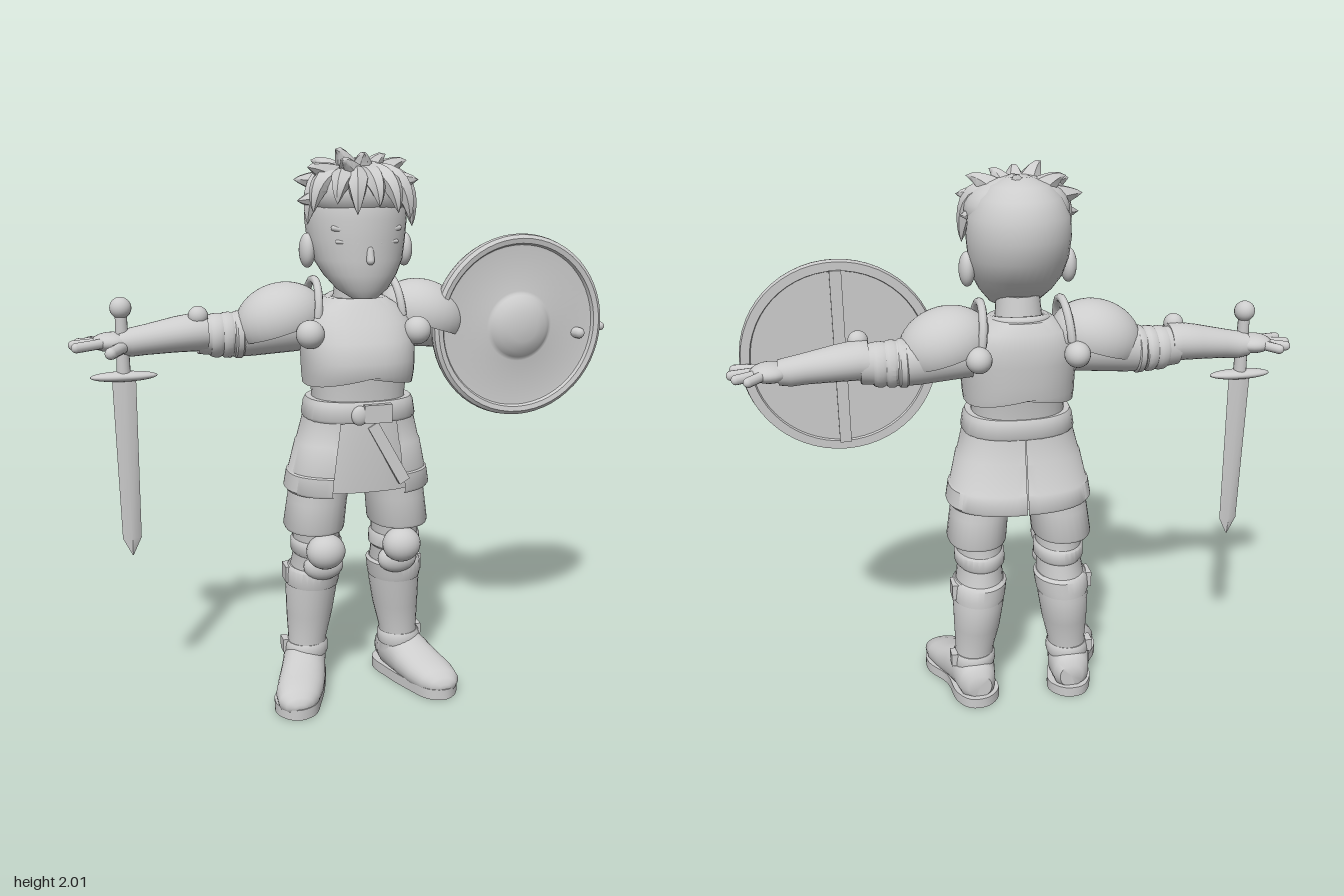
import * as THREE from 'three';
import { toCreasedNormals } from 'three/addons/utils/BufferGeometryUtils.js';

const V = (x, y, z) => new THREE.Vector3(x, y, z);

// Smooth shading that keeps hard edges
function crease(geo, angle = 0.75) {
  geo.scale(100, 100, 100);
  return toCreasedNormals(geo, angle).scale(0.01, 0.01, 0.01);
}

// Skin over elliptical sections [t, a, b, ra, rb]; axis y: a=x b=z, axis x: a=z b=y, axis z: a=y b=x
function loft(axis, sections, { n = 28, power = 2, from = 0, to = 2 * Math.PI } = {}) {
  const pos = [], idx = [];
  const put = (t, a, b) => pos.push(...(axis === 'y' ? [a, t, b] : axis === 'x' ? [t, b, a] : [b, a, t]));
  const bend = (v) => Math.sign(v) * Math.abs(v) ** (2 / power);
  for (const [t, a, b, ra, rb] of sections) {
    for (let j = 0; j <= n; j++) {
      const q = from + ((to - from) * j) / n;
      put(t, a + ra * bend(Math.cos(q)), b + rb * bend(Math.sin(q)));
    }
  }
  const last = sections.length - 1, w = n + 1;
  for (let i = 0; i < last; i++) for (let j = 0; j < n; j++) {
    const p = i * w + j;
    idx.push(p, p + w, p + 1, p + 1, p + w, p + w + 1);
  }
  if (to - from > 6.28) {
    const c = pos.length / 3;
    put(...sections[0]);
    put(...sections[last]);
    for (let j = 0; j < n; j++) idx.push(c, j, j + 1, c + 1, last * w + j + 1, last * w + j);
  }
  const geo = new THREE.BufferGeometry();
  geo.setAttribute('position', new THREE.Float32BufferAttribute(pos, 3));
  geo.setIndex(idx);
  return crease(geo);
}

const ball = (p, rx, ry = rx, rz = rx) =>
  new THREE.SphereGeometry(1, 24, 16).scale(rx, ry, rz).translate(p.x, p.y, p.z);

function limb(p, q, r) {
  const dir = q.clone().sub(p).normalize(), mid = p.clone().add(q).multiplyScalar(0.5);
  return new THREE.CapsuleGeometry(r, p.distanceTo(q), 5, 12)
    .applyQuaternion(new THREE.Quaternion().setFromUnitVectors(V(0, 1, 0), dir))
    .translate(mid.x, mid.y, mid.z);
}

// Curved lock of hair tapering to a point
function lock(base, mid, tip, r) {
  const curve = new THREE.QuadraticBezierCurve3(base, mid, tip), sides = 6, steps = 8;
  const geo = new THREE.TubeGeometry(curve, steps, r, sides), pos = geo.attributes.position;
  for (let i = 0; i < pos.count; i++) {
    const t = Math.floor(i / (sides + 1)) / steps;
    const p = V().fromBufferAttribute(pos, i).lerp(curve.getPointAt(t), 1 - (1 - t) ** 0.75);
    pos.setXYZ(i, p.x, p.y, p.z);
  }
  return crease(geo, 0.9);
}

function mirrored(geo) {
  const g = geo.index ? geo.toNonIndexed() : geo.clone();
  g.scale(-1, 1, 1);
  for (const attr of Object.values(g.attributes)) {
    for (let i = 0; i < attr.count; i += 3) for (let k = 0; k < attr.itemSize; k++) {
      const b = attr.getComponent(i + 1, k);
      attr.setComponent(i + 1, k, attr.getComponent(i + 2, k));
      attr.setComponent(i + 2, k, b);
    }
  }
  return g;
}

export function createModel() {
  const model = new THREE.Group();
  model.name = 'squire';
  const grey = new THREE.MeshStandardMaterial({ color: 0xcccccc, side: THREE.DoubleSide });
  grey.name = 'plain light grey';
  const add = (name, geo) => {
    const mesh = new THREE.Mesh(geo, grey);
    mesh.name = name;
    model.add(mesh);
  };
  const pair = (name, geo) => {
    const cap = name[0].toUpperCase() + name.slice(1);
    add('left' + cap, geo);
    add('right' + cap, mirrored(geo));
  };

  // Head and face
  add('head', loft('y', [
    [1.5, 0, 0.1, 0.045, 0.035], [1.53, 0, 0.07, 0.09, 0.085], [1.58, 0, 0.04, 0.13, 0.125],
    [1.63, 0, 0.015, 0.157, 0.155], [1.7, 0, -0.01, 0.173, 0.178], [1.77, 0, -0.015, 0.18, 0.187],
    [1.84, 0, -0.02, 0.174, 0.18], [1.9, 0, -0.02, 0.143, 0.15], [1.94, 0, -0.02, 0.1, 0.105],
    [1.965, 0, -0.02, 0.04, 0.04]], { n: 36 }));
  add('nose', limb(V(0, 1.67, 0.158), V(0, 1.632, 0.17), 0.014));
  pair('ear', ball(V(0.178, 1.66, -0.005), 0.028, 0.06, 0.042));
  pair('brow', limb(V(0.035, 1.725, 0.155), V(0.115, 1.74, 0.122), 0.01));
  pair('eyelid', limb(V(0.04, 1.69, 0.156), V(0.105, 1.695, 0.13), 0.007));

  // Hair: cap, crown locks and fringe
  add('hairCap', ball(V(0, 1.855, 0.02), 0.182, 0.112, 0.16));
  const crown = [
    [-0.23, 1.83, 0.07], [-0.23, 1.9, 0.02], [-0.2, 1.94, 0.1], [-0.16, 1.965, -0.02], [-0.1, 2, 0.09],
    [-0.01, 1.985, 0.13], [0.02, 1.975, -0.07], [0.09, 1.985, 0.05], [0.17, 1.965, 0.04], [0.2, 1.9, 0.08],
    [0.2, 1.84, 0.0], [-0.1, 1.96, 0.17]];
  crown.forEach(([x, y, z]) => add('crownLock', lock(V(x * 0.25, 1.88, z * 0.4),
    V(x * 0.7, y, z * 0.75), V(x, y, z), 0.068)));
  const fringe = [
    [-0.185, 1.79, 0.12], [-0.12, 1.82, 0.19], [-0.055, 1.785, 0.205], [0.02, 1.81, 0.21],
    [0.09, 1.79, 0.195], [0.15, 1.765, 0.14], [0.185, 1.74, 0.06], [-0.188, 1.75, 0.05]];
  fringe.forEach(([x, y, z]) => add('fringeLock', lock(V(x * 0.5, 1.9, z * 0.45),
    V(x * 0.95, 1.91, z * 0.95), V(x, y, z), 0.056)));

  // Neck and torso armour
  add('neck', loft('y', [[1.42, 0, -0.02, 0.09, 0.09], [1.57, 0, 0, 0.075, 0.08]]));
  add('collar', new THREE.TorusGeometry(0.095, 0.018, 10, 28).rotateX(Math.PI / 2 + 0.15).translate(0, 1.48, -0.02));
  add('waist', loft('y', [[1.08, 0, 0.015, 0.17, 0.145], [1.16, 0, 0.015, 0.168, 0.145],
    [1.27, 0, 0.01, 0.18, 0.165]], { power: 2.3 }));
  const breast = loft('y', [[1.19, 0, 0.005, 0.196, 0.172], [1.23, 0, 0.008, 0.2, 0.185],
    [1.28, 0, 0.01, 0.202, 0.19], [1.35, 0, -0.005, 0.205, 0.182], [1.41, 0, -0.025, 0.2, 0.16],
    [1.46, 0, -0.035, 0.165, 0.138], [1.495, 0, -0.035, 0.11, 0.11]], { n: 36, power: 2.4 });
  const bp = breast.attributes.position;
  for (let i = 0; i < bp.count; i++) {
    if (bp.getY(i) < 1.2) bp.setY(i, bp.getY(i) + 0.035 * (1 - Math.abs(bp.getX(i)) / 0.2));
  }
  add('breastplate', breast);

  // Shoulders
  pair('pauldron', new THREE.SphereGeometry(1, 28, 16, 0, Math.PI * 2, 0, Math.PI * 0.58)
    .scale(0.165, 0.13, 0.142).rotateZ(-0.3).translate(0.265, 1.415, -0.06));
  pair('pauldronFlange', new THREE.TorusGeometry(0.125, 0.015, 8, 24, Math.PI).rotateY(Math.PI / 2)
    .scale(1, 1, 0.9).rotateZ(0.1).translate(0.155, 1.43, -0.055));
  pair('frontRoundel', ball(V(0.195, 1.38, 0.1), 0.05));
  pair('backRoundel', ball(V(0.17, 1.39, -0.185), 0.045, 0.045, 0.05));

  // Arms, sleeve folds, gauntlets and hands
  pair('upperArm', loft('x', [[0.18, -0.07, 1.39, 0.09, 0.09], [0.37, -0.08, 1.375, 0.09, 0.088],
    [0.43, -0.08, 1.365, 0.078, 0.078], [0.56, -0.08, 1.37, 0.07, 0.068]]));
  [0.415, 0.455, 0.495].forEach((x, i) => pair('sleeveFold', loft('x', [
    [x - 0.022, -0.08, 1.367, 0.074, 0.074], [x - 0.008, -0.08, 1.365, 0.087 - i * 0.003, 0.085 - i * 0.003],
    [x + 0.012, -0.08, 1.365, 0.085 - i * 0.003, 0.083 - i * 0.003], [x + 0.022, -0.08, 1.366, 0.073, 0.072]])));
  pair('gauntlet', loft('x', [[0.53, -0.07, 1.38, 0.08, 0.066], [0.56, -0.07, 1.382, 0.083, 0.068],
    [0.64, -0.07, 1.375, 0.075, 0.062], [0.74, -0.067, 1.362, 0.058, 0.053], [0.79, -0.068, 1.355, 0.055, 0.05],
    [0.83, -0.07, 1.355, 0.055, 0.042]]));
  pair('elbowKnob', ball(V(0.56, 1.44, -0.04), 0.035));
  pair('palm', ball(V(0.855, 1.358, -0.072), 0.07, 0.034, 0.066));
  [[0, 0.975], [-0.065, 0.983], [-0.115, 0.965], [-0.15, 0.925]].forEach(([z, x], i) =>
    pair('finger', limb(V(0.875, 1.36, -0.035 - i * 0.025), V(x, 1.352, z), 0.017)));
  pair('thumb', limb(V(0.815, 1.345, -0.04), V(0.865, 1.335, 0.042), 0.021));

  // Belt, skirt and side tassets
  add('belt', loft('y', [[1.07, 0, 0.017, 0.2, 0.157], [1.08, 0, 0.017, 0.206, 0.163],
    [1.13, 0, 0.017, 0.198, 0.16], [1.145, 0, 0.017, 0.19, 0.152]], { power: 2.4 }));
  add('buckle', new THREE.BoxGeometry(0.1, 0.065, 0.03).translate(0.025, 1.105, 0.178));
  add('buckleKnot', ball(V(-0.04, 1.1, 0.178), 0.03, 0.035, 0.018));
  add('beltTail', new THREE.BoxGeometry(0.042, 0.24, 0.02).rotateZ(0.5).rotateX(-0.06).translate(0.07, 0.955, 0.166));
  add('skirt', loft('y', [[0.815, 0, -0.005, 0.25, 0.168], [0.95, 0, 0.008, 0.225, 0.16],
    [1.09, 0, 0.015, 0.19, 0.148]], { n: 36, power: 2.4 }));
  pair('tasset', loft('y', [[0.8, 0, -0.005, 0.262, 0.182], [0.81, 0, -0.005, 0.27, 0.186],
    [0.87, 0, -0.002, 0.26, 0.181], [0.875, 0, -0.002, 0.253, 0.176], [0.98, 0, 0.008, 0.229, 0.167],
    [0.985, 0, 0.008, 0.224, 0.164], [1.08, 0, 0.015, 0.2, 0.154]], { power: 2.4, from: -1.568, to: 1.12 }));

  // Legs
  pair('shorts', loft('y', [[0.65, 0.162, -0.015, 0.106, 0.132], [0.66, 0.162, -0.015, 0.11, 0.136],
    [0.76, 0.15, -0.01, 0.108, 0.13], [0.95, 0.12, 0, 0.108, 0.13]], { power: 2.2 }));
  pair('leg', loft('y', [[0.1, 0.19, -0.055, 0.078, 0.08], [0.2, 0.182, -0.052, 0.073, 0.076],
    [0.3, 0.172, -0.056, 0.087, 0.097], [0.4, 0.165, -0.054, 0.096, 0.112], [0.48, 0.157, -0.04, 0.09, 0.11],
    [0.56, 0.152, -0.02, 0.082, 0.108], [0.67, 0.155, -0.012, 0.09, 0.115]]));
  pair('greaveCuff', loft('y', [[0.42, 0.163, -0.05, 0.098, 0.115], [0.44, 0.162, -0.047, 0.101, 0.118],
    [0.485, 0.157, -0.042, 0.102, 0.119], [0.495, 0.157, -0.04, 0.092, 0.11]]));
  pair('kneeBand', loft('y', [[0.55, 0.152, -0.022, 0.085, 0.11], [0.56, 0.152, -0.02, 0.094, 0.118],
    [0.6, 0.153, -0.017, 0.094, 0.118], [0.61, 0.153, -0.015, 0.086, 0.11]]));
  pair('kneePad', ball(V(0.145, 0.585, 0.1), 0.072, 0.066, 0.062));
  pair('kneePoint', ball(V(0.143, 0.515, 0.055), 0.075, 0.055, 0.045));
  pair('greaveTab', new THREE.BoxGeometry(0.025, 0.06, 0.07).translate(0.255, 0.46, -0.06));

  // Boots
  pair('ankleStrap', loft('y', [[0.135, 0.187, -0.053, 0.08, 0.083], [0.145, 0.187, -0.053, 0.083, 0.086],
    [0.175, 0.185, -0.053, 0.081, 0.084], [0.185, 0.185, -0.053, 0.075, 0.079]]));
  pair('strapTab', new THREE.BoxGeometry(0.025, 0.05, 0.05).translate(0.265, 0.165, -0.07));
  const foot = loft('z', [[-0.165, 0.08, 0.18, 0.045, 0.045], [-0.14, 0.085, 0.185, 0.075, 0.068],
    [-0.07, 0.1, 0.19, 0.09, 0.083], [0, 0.09, 0.21, 0.085, 0.085], [0.06, 0.075, 0.23, 0.07, 0.09],
    [0.13, 0.062, 0.255, 0.058, 0.09], [0.19, 0.053, 0.272, 0.047, 0.075], [0.22, 0.05, 0.277, 0.03, 0.05],
    [0.232, 0.048, 0.278, 0.01, 0.02]], { power: 2.2 });
  const fp = foot.attributes.position;
  for (let i = 0; i < fp.count; i++) fp.setY(i, Math.max(fp.getY(i), 0.02));
  pair('boot', foot);
  const outline = [[0.1, -0.12], [0.15, -0.18], [0.22, -0.18], [0.265, -0.12], [0.285, 0], [0.345, 0.1],
    [0.345, 0.18], [0.29, 0.235], [0.22, 0.215], [0.17, 0.12], [0.125, 0]];
  const sole = new THREE.Shape(new THREE.CatmullRomCurve3(outline.map(([x, z]) => V(x, z, 0)), true)
    .getPoints(44).slice(0, -1).map((p) => new THREE.Vector2(p.x, p.y)));
  pair('sole', crease(new THREE.ExtrudeGeometry(sole, { depth: 0.04, bevelEnabled: false })
    .rotateX(Math.PI / 2).translate(0, 0.04, 0)));

  // Shield on the left arm
  const profile = [[0, -0.012], [0.3, -0.012], [0.303, -0.022], [0.333, -0.022], [0.338, 0], [0.335, 0.018],
    [0.322, 0.028], [0.304, 0.024], [0.298, 0.012], [0.29, 0.011], [0.13, 0.016], [0.122, 0.018],
    [0.115, 0.024], [0.095, 0.042], [0.055, 0.055], [0, 0.06]];
  add('shield', crease(new THREE.LatheGeometry(profile.map(([r, h]) => new THREE.Vector2(r, h)), 56)
    .rotateX(Math.PI / 2).translate(0.62, 1.37, 0.02), 0.5));
  add('shieldBar', new THREE.BoxGeometry(0.04, 0.61, 0.025).translate(0.62, 1.37, 0.0));

  // Sword in the right hand
  add('swordBlade', loft('y', [[0.585, -0.82, -0.06, 0.002, 0.002], [0.65, -0.82, -0.06, 0.033, 0.011],
    [1.24, -0.82, -0.06, 0.041, 0.014]], { n: 4 }));
  add('swordGuard', ball(V(-0.82, 1.238, -0.06), 0.115, 0.018, 0.034));
  add('swordGrip', new THREE.CylinderGeometry(0.02, 0.024, 0.24, 16).translate(-0.82, 1.35, -0.06));
  add('swordPommel', ball(V(-0.82, 1.475, -0.06), 0.037));
  return model;
}
